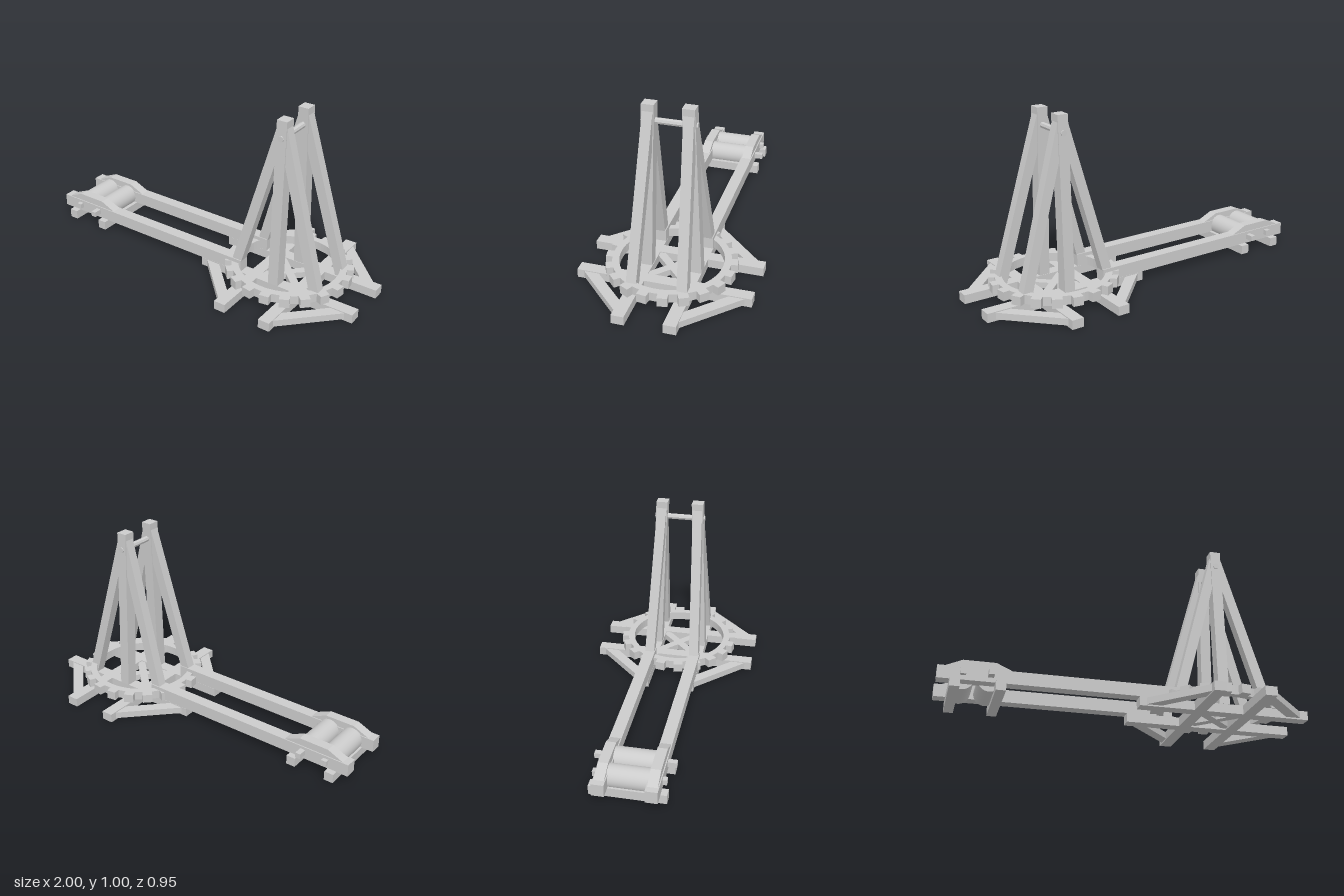
import * as THREE from 'three';

const CX = 0.52; // centre of the tower and gear ring

export function createModel() {
  const model = new THREE.Group();
  model.name = 'winchTower';
  const material = new THREE.MeshStandardMaterial({ color: 0xcccccc, flatShading: true });
  const smooth = new THREE.MeshStandardMaterial({ color: 0xcccccc });

  const add = (name, geometry, mat = material) => {
    const mesh = new THREE.Mesh(geometry, mat);
    mesh.name = name;
    model.add(mesh);
    return mesh;
  };
  // Box given by its extents on each axis
  const box = (name, x0, x1, y0, y1, z0, z1) => add(name,
    new THREE.BoxGeometry(x1 - x0, y1 - y0, z1 - z0)
      .translate((x0 + x1) / 2, (y0 + y1) / 2, (z0 + z1) / 2));
  // Leaning timber with level ends, running from a bottom centre to a top centre
  const slant = (name, w, d, a, b) => {
    const g = new THREE.BoxGeometry(w, 1, d);
    const p = g.attributes.position;
    for (let i = 0; i < p.count; i++) {
      const end = p.getY(i) > 0 ? b : a;
      p.setXYZ(i, p.getX(i) + end[0], end[1], p.getZ(i) + end[2]);
    }
    g.computeVertexNormals();
    return add(name, g);
  };
  // Flat plate from an outline in plan (x, z), between two heights
  const plate = (name, points, y0, y1) => {
    const shape = new THREE.Shape(points.map(([x, z]) => new THREE.Vector2(x, -z)));
    const g = new THREE.ExtrudeGeometry(shape, { depth: y1 - y0, bevelEnabled: false });
    return add(name, g.rotateX(-Math.PI / 2).translate(0, y0, 0));
  };

  for (const s of [1, -1]) {
    const side = s > 0 ? 'front' : 'back';
    // Long rails and base sills
    box(side + 'Rail', -1, 0.31, 0.05, 0.12, s * 0.135 - 0.033, s * 0.135 + 0.033);
    box(side + 'Sill', 0.05, 1, 0, 0.05, s * 0.135 - 0.034, s * 0.135 + 0.034);

    // Tower: leaning post with two splayed legs
    slant(side + 'Post', 0.06, 0.066, [CX, 0.05, s * 0.137], [CX, 1, s * 0.104]);
    for (const t of [1, -1]) {
      slant(side + 'TowerLeg', 0.058, 0.055,
        [CX + t * 0.257, 0.05, s * 0.137], [CX, 0.965, s * 0.105]);
      // Corner braces between sills and crossbeams
      plate(side + 'CornerBrace', [
        [CX + t * 0.435, s * 0.168], [CX + t * 0.168, s * 0.438],
        [CX + t * 0.168, s * 0.355], [CX + t * 0.352, s * 0.168],
      ], 0.008, 0.045);
    }

    // Winch cheek on top of each rail
    const cheek = new THREE.Shape([[-0.965, 0.12], [-0.615, 0.12], [-0.705, 0.16], [-0.875, 0.16]]
      .map(([x, y]) => new THREE.Vector2(x, y)));
    add(side + 'WinchCheek', new THREE.ExtrudeGeometry(cheek, { depth: 0.054, bevelEnabled: false })
      .translate(0, 0, s * 0.135 - 0.027));

    // Crossbeam under the tower and diagonal centre brace
    const x = CX + s * 0.137;
    box('crossbeam', x - 0.033, x + 0.033, 0, 0.05, -0.475, 0.475);
    add('centreBrace', new THREE.BoxGeometry(0.31, 0.036, 0.045)
      .rotateY(s * 0.76).translate(CX, 0.027, 0));
  }

  // Axle joining the two tower tops
  add('topAxle', new THREE.CylinderGeometry(0.017, 0.017, 0.294, 8)
    .rotateX(Math.PI / 2).translate(CX, 0.904, 0));

  // Gear ring with block teeth
  const ring = new THREE.Shape().absarc(0, 0, 0.318, 0, Math.PI * 2);
  ring.holes.push(new THREE.Path().absarc(0, 0, 0.28, 0, Math.PI * 2, true));
  add('gearRing', new THREE.ExtrudeGeometry(ring, { depth: 0.05, bevelEnabled: false, curveSegments: 40 })
    .rotateX(-Math.PI / 2).translate(CX, 0.05, 0));
  for (let i = 0; i < 20; i++) {
    add('gearTooth', new THREE.BoxGeometry(0.048, 0.05, 0.055)
      .translate(0.329, 0, 0).rotateY((i + 0.5) * Math.PI / 10).translate(CX, 0.075, 0));
  }

  // Winch drums on square axles
  for (const [x, half] of [[-0.87, 0.192], [-0.73, 0.217]]) {
    add('winchDrum', new THREE.CylinderGeometry(0.062, 0.062, 0.22, 32)
      .rotateX(Math.PI / 2).translate(x, 0.083, 0), smooth);
    box('drumAxle', x - 0.015, x + 0.015, 0.075, 0.105, -half, half);
  }
  // Crossbars below the winch
  for (const x of [-0.91, -0.68]) box('winchCrossbar', x - 0.026, x + 0.026, 0, 0.052, -0.202, 0.202);

  return model;
}
